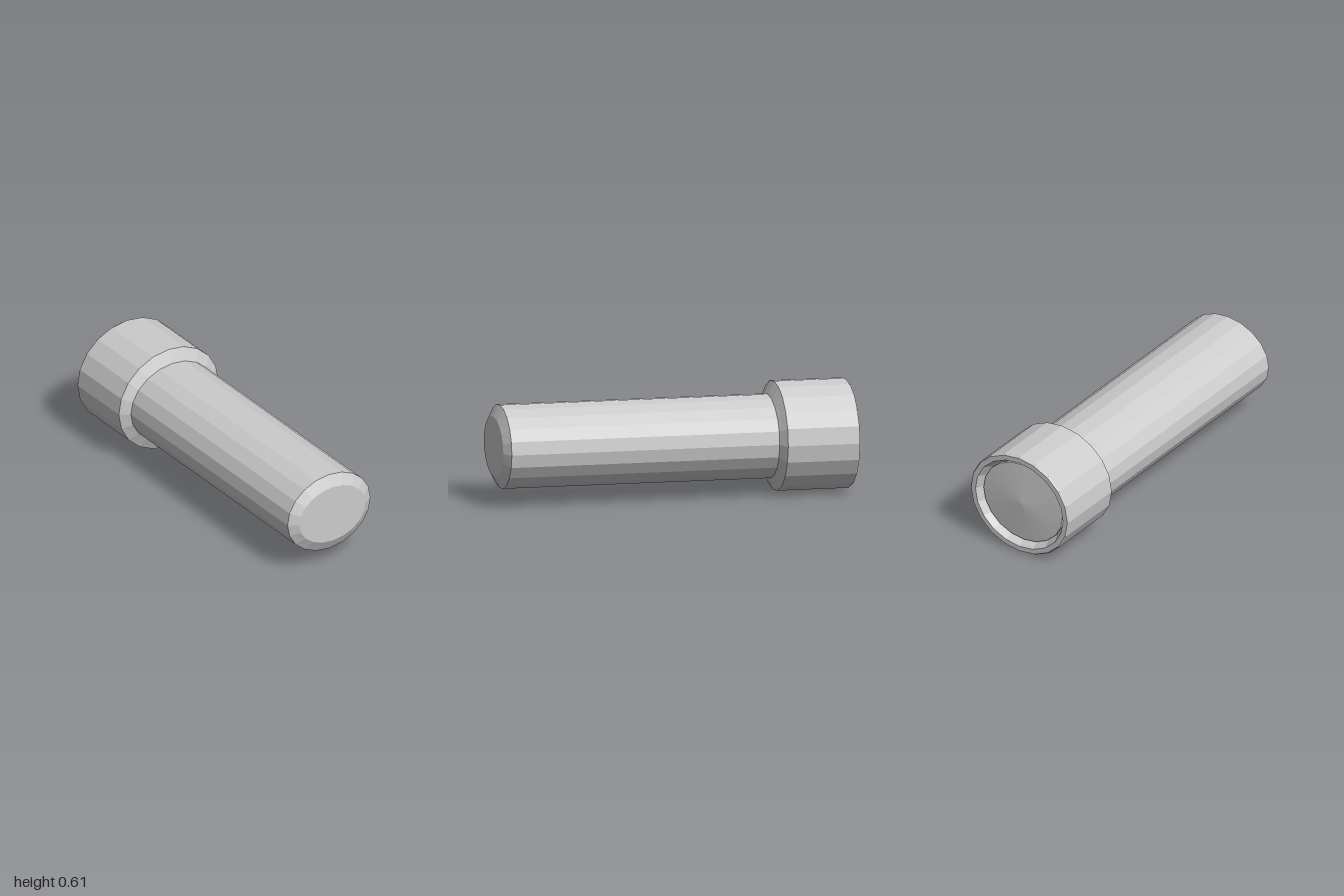
import * as THREE from 'three';

const SIDES = 20;

// Skin a row of elliptical rings [rx, ry, z], listed from front to back.
// A ring of zero radius closes the surface to a point.
function loft(name, rings) {
  const pos = [], index = [];
  for (const [rx, ry, z] of rings) {
    for (let i = 0; i < SIDES; i++) {
      const a = (i / SIDES) * Math.PI * 2;
      pos.push(rx * Math.cos(a), ry * Math.sin(a), z);
    }
  }
  for (let r = 0; r < rings.length - 1; r++) {
    for (let i = 0; i < SIDES; i++) {
      const j = (i + 1) % SIDES;
      const a = r * SIDES + i, b = r * SIDES + j;
      const c = a + SIDES, d = b + SIDES;
      if (rings[r][0] > 0) index.push(a, c, b);
      if (rings[r + 1][0] > 0) index.push(b, c, d);
      else if (rings[r][0] > 0) continue;
    }
  }
  const indexed = new THREE.BufferGeometry();
  indexed.setAttribute('position', new THREE.Float32BufferAttribute(pos, 3));
  indexed.setIndex(index);
  const geometry = indexed.toNonIndexed();
  geometry.computeVertexNormals();
  const mesh = new THREE.Mesh(
    geometry,
    new THREE.MeshStandardMaterial({ color: 0xcccccc, flatShading: true })
  );
  mesh.name = name;
  return mesh;
}

export function createModel() {
  const model = new THREE.Group();
  model.name = 'torch';

  const body = new THREE.Group();
  body.name = 'body';
  // The body lies on its side with its front end raised very slightly
  body.position.y = 0.3125;
  body.rotation.x = -0.0068;
  model.add(body);

  // Handle with a chamfered, closed front end
  body.add(loft('handle', [
    [0, 0, 1],
    [0.222, 0.168, 1],
    [0.277, 0.2325, 0.965],
    [0.277, 0.2325, -0.57],
  ]));

  // Wider head: sloped shoulder, rim and the recess behind it
  body.add(loft('head', [
    [0.277, 0.2325, -0.555],
    [0.333, 0.305, -0.59],
    [0.333, 0.305, -0.99],
    [0.327, 0.299, -0.999],
    [0.297, 0.269, -0.999],
    [0.277, 0.249, -0.955],
    [0.265, 0.237, -0.945],
  ]));

  // Shallow domed lens set into the recess
  body.add(loft('lens', [
    [0.27, 0.242, -0.945],
    [0.268, 0.24, -0.963],
    [0, 0, -0.982],
  ]));

  return model;
}
